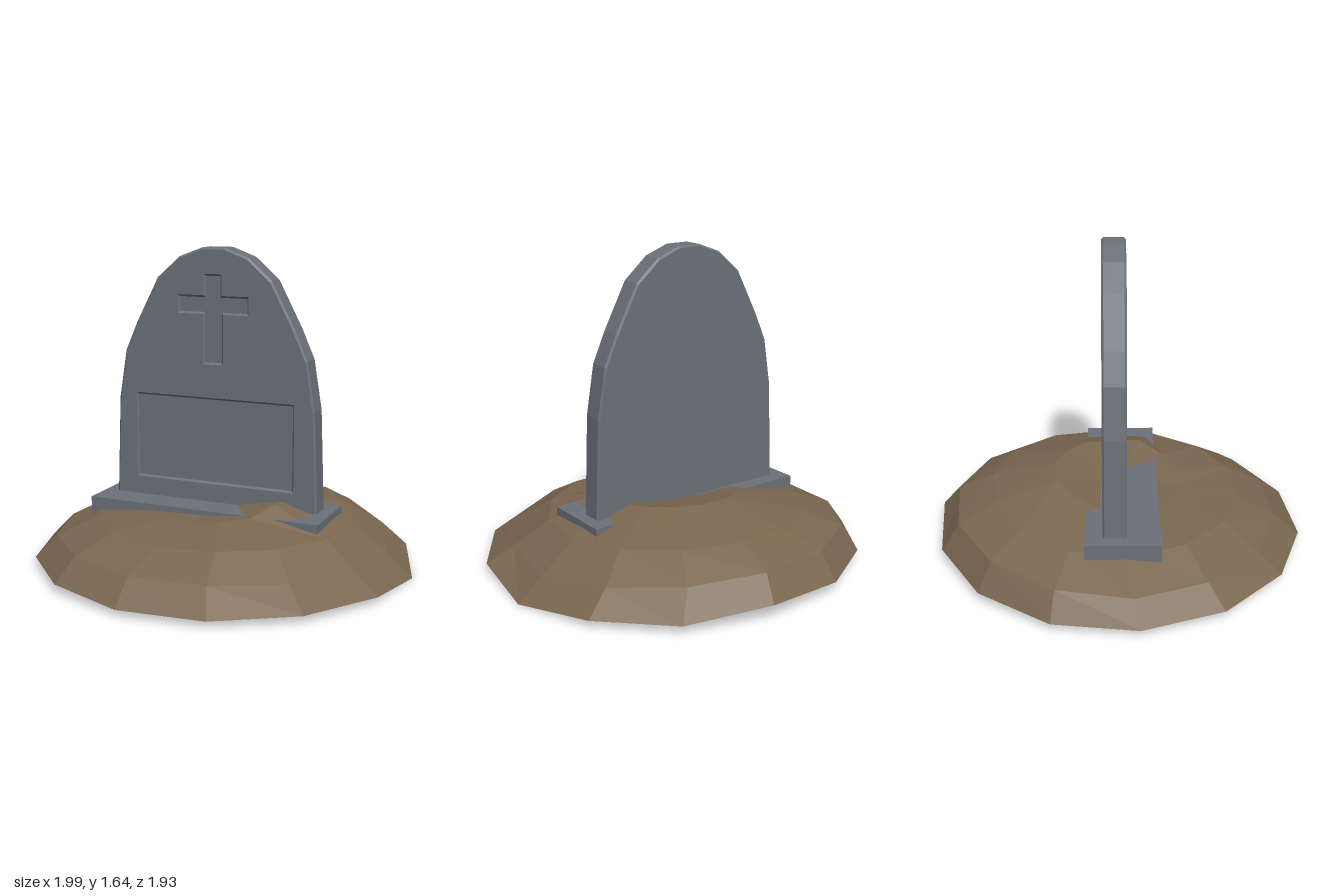
import * as THREE from 'three';

const stone = new THREE.MeshStandardMaterial({ color: 0x6c7179 });
stone.name = 'grey stone';
stone.flatShading = true;
const soil = new THREE.MeshStandardMaterial({ color: 0x7a6750 });
soil.name = 'brown soil';
soil.flatShading = true;
soil.side = THREE.DoubleSide;

function addMesh(group, name, geometry, material) {
  const mesh = new THREE.Mesh(geometry, material);
  mesh.name = name;
  group.add(mesh);
  return mesh;
}

const toPoints = (list) => list.map(([x, y]) => new THREE.Vector2(x, y));

// Open shell of soil: rings of 14 corners, each with its own height
function moundGeometry() {
  const sides = 14;
  const rings = [
    { r: 0.35, dx: 0, dz: 0, y: [0.355, 0.365, 0.315, 0.3, 0.28, 0.28, 0.28, 0.285, 0.315, 0.34, 0.36, 0.37, 0.37, 0.365] },
    { r: 0.68, dx: 0, dz: -0.02, y: [0.25, 0.25, 0.25, 0.25, 0.24, 0.25, 0.25, 0.24, 0.255, 0.27, 0.28, 0.29, 0.285, 0.27] },
    { r: 0.88, dx: -0.02, dz: -0.02, y: [0.12, 0.13, 0.14, 0.15, 0.15, 0.155, 0.155, 0.15, 0.17, 0.19, 0.2, 0.205, 0.185, 0.155] },
    { r: 1.0, dx: 0, dz: 0, y: [0, 0.04, 0.04, 0.035, 0.035, 0.045, 0.045, 0.04, 0.04, 0.05, 0.06, 0.085, 0.045, 0.04] },
  ];
  const corner = (ring, i) => {
    const a = -0.1 + ((i % sides) / sides) * Math.PI * 2;
    return [ring.r * Math.cos(a) + ring.dx, ring.y[i % sides], 0.972 * ring.r * Math.sin(a) + ring.dz];
  };
  const centre = [0, 0.295, 0];
  const positions = [];
  for (let i = 0; i < sides; i++) {
    positions.push(...centre, ...corner(rings[0], i + 1), ...corner(rings[0], i));
    for (let k = 0; k < rings.length - 1; k++) {
      const a = corner(rings[k], i), b = corner(rings[k], i + 1);
      const c = corner(rings[k + 1], i), d = corner(rings[k + 1], i + 1);
      positions.push(...a, ...b, ...c, ...b, ...d, ...c);
    }
  }
  const geometry = new THREE.BufferGeometry();
  geometry.setAttribute('position', new THREE.Float32BufferAttribute(positions, 3));
  geometry.computeVertexNormals();
  return geometry;
}

// Arched outline, mirrored about the stone's own centre line
function archShape() {
  const cx = -0.048;
  const half = [[0.574, 0.3], [0.553, 0.835], [0.511, 1.09], [0.443, 1.243], [0.318, 1.482], [0.19, 1.593], [0.063, 1.64]];
  const right = half.map(([x, y]) => [cx + x, y]);
  const left = half.map(([x, y]) => [cx - x, y]).reverse();
  return new THREE.Shape(toPoints([...right, ...left]));
}

// Slab with chamfered edges between two depths
function slab(shape, z0, z1) {
  const b = 0.01;
  const geometry = new THREE.ExtrudeGeometry(shape, {
    depth: z1 - z0 - 2 * b, bevelEnabled: true, bevelThickness: b, bevelSize: b, bevelOffset: -b, bevelSegments: 1,
  });
  geometry.translate(0, 0, z0 + b);
  return geometry;
}

export function createModel() {
  const model = new THREE.Group();
  model.name = 'gravestone';

  addMesh(model, 'soilMound', moundGeometry(), soil);

  // Plinth sunk into the mound
  const plinth = addMesh(model, 'plinth', new THREE.BoxGeometry(1.28, 0.11, 0.375), stone);
  plinth.position.set(-0.05, 0.257, 0.015);

  // Headstone: solid back, and a front layer with sunken cross and panel
  const headstone = new THREE.Group();
  headstone.name = 'headstone';
  model.add(headstone);
  addMesh(headstone, 'headstoneBody', slab(archShape(), -0.085, 0.022), stone);

  const face = archShape();
  const cross = [
    [-0.096, 1.052], [-0.096, 1.312], [-0.238, 1.312], [-0.238, 1.388], [-0.092, 1.388], [-0.092, 1.497],
    [-0.01, 1.497], [-0.01, 1.388], [0.138, 1.388], [0.138, 1.312], [-0.003, 1.312], [-0.003, 1.052],
  ];
  const panel = [[-0.488, 0.418], [-0.488, 0.858], [0.388, 0.858], [0.388, 0.418]];
  for (const outline of [cross, panel]) face.holes.push(new THREE.Path(toPoints(outline)));
  addMesh(headstone, 'headstoneFace', slab(face, -0.03, 0.035), stone);

  return model;
}
